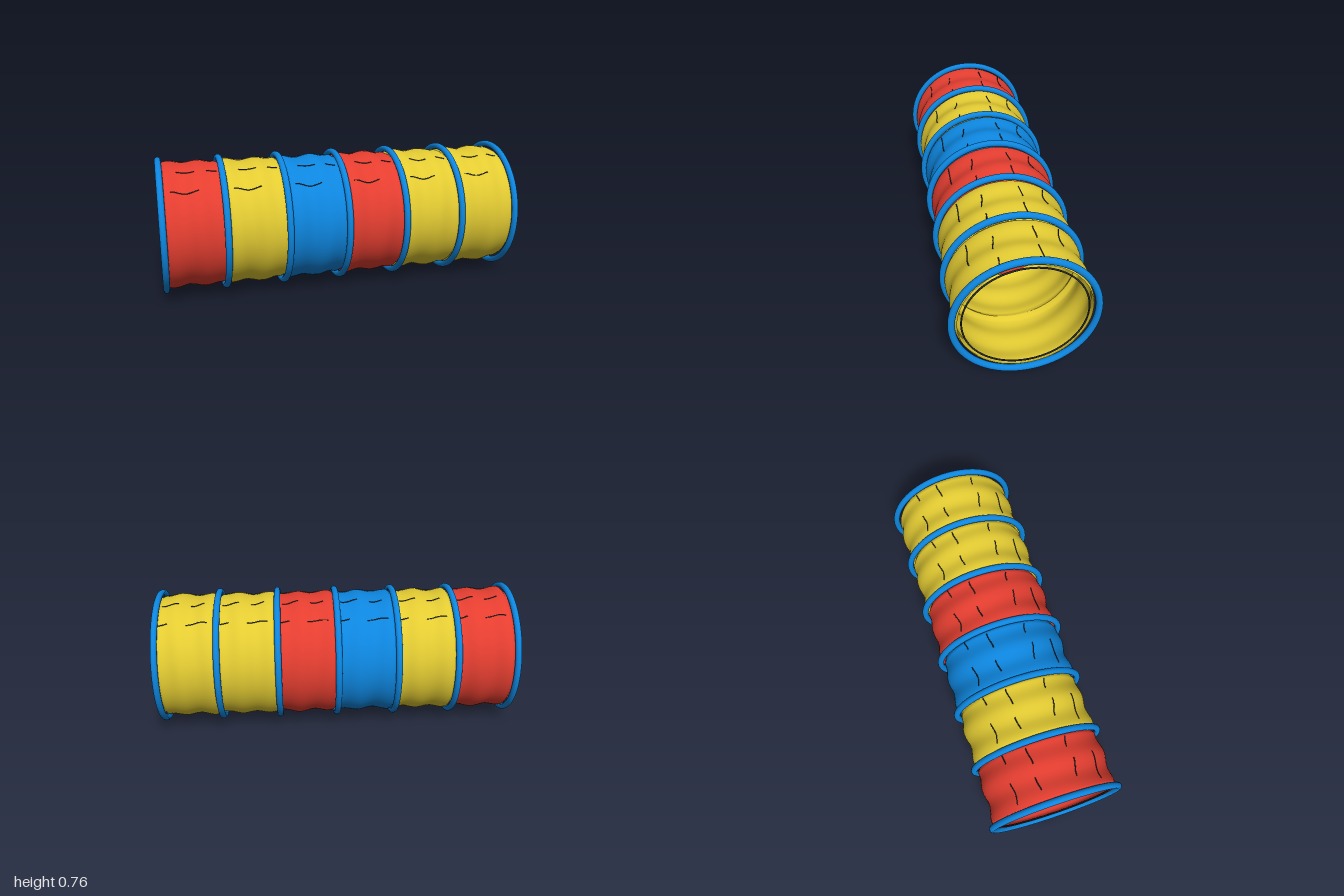
import * as THREE from 'three';
import { mergeVertices } from 'three/addons/utils/BufferGeometryUtils.js';

const HOOP_R = 0.36, HOOP_TUBE = 0.018, SEG = 0.982 / 3, CENTRE_Y = HOOP_R + HOOP_TUBE;

// Fabric radius: gentle ripples along the tube, drawn in under each hoop.
// u is 0..1 along a section, a is the angle from the top towards +z.
function fabricRadius(u, a, i) {
  const edge = Math.min(u, 1 - u) * SEG;
  const t = Math.min(1, edge / 0.025);
  const ripple = 0.346 + 0.0065 * Math.sin(u * Math.PI * 4 + 0.5 * Math.sin(2 * a + i))
    + 0.002 * Math.sin(3 * a + u * 7 + i * 1.7);
  return THREE.MathUtils.lerp(0.332, ripple, t * t * (3 - 2 * t));
}

function fabricGeometry(i) {
  const g = new THREE.CylinderGeometry(1, 1, 1, 72, 52, true);
  g.rotateZ(-Math.PI / 2);
  const p = g.attributes.position;
  for (let k = 0; k < p.count; k++) {
    const u = p.getX(k) + 0.5, a = Math.atan2(p.getZ(k), p.getY(k));
    const r = fabricRadius(u, a, i);
    p.setXYZ(k, (u - 0.5) * SEG, Math.cos(a) * r, Math.sin(a) * r);
  }
  g.deleteAttribute('uv');
  g.deleteAttribute('normal');
  const merged = mergeVertices(g, 1e-5);
  merged.computeVertexNormals();
  return merged;
}

// Short wavy crease lying on the fabric
function creaseGeometry(i, angle, u0, u1) {
  const pts = [];
  for (let k = 0; k <= 10; k++) {
    const u = u0 + (u1 - u0) * k / 10;
    const a = angle + 0.02 * Math.sin(u * 13 + angle * 3);
    const r = fabricRadius(u, a, i) + 0.0005;
    pts.push(new THREE.Vector3((u - 0.5) * SEG, Math.cos(a) * r, Math.sin(a) * r));
  }
  return new THREE.TubeGeometry(new THREE.CatmullRomCurve3(pts), 20, 0.0028, 6);
}

export function createModel() {
  const model = new THREE.Group();
  model.name = 'playTunnel';
  const material = (name, color, side = THREE.FrontSide) => {
    const m = new THREE.MeshStandardMaterial({ color, side });
    m.name = name;
    return m;
  };
  const red = material('red fabric', 0xe53e30, THREE.DoubleSide);
  const yellow = material('yellow fabric', 0xe3cb32, THREE.DoubleSide);
  const blue = material('blue', 0x0d86df, THREE.DoubleSide);
  const dark = material('dark wire', 0x262c2c);
  const add = (name, geometry, mat, x, parent = model) => {
    const mesh = new THREE.Mesh(geometry, mat);
    mesh.name = name;
    mesh.position.x = x;
    parent.add(mesh);
    return mesh;
  };

  const tunnel = new THREE.Group();
  tunnel.name = 'tunnel';
  tunnel.position.y = CENTRE_Y;
  model.add(tunnel);

  // Fabric sections with creases along the upper half
  const creases = [
    [0.8, 0.15, 0.6], [0.38, 0.27, 0.56], [0.38, 0.75, 0.92],
    [-0.23, 0.22, 0.44], [-0.23, 0.64, 0.92], [-0.64, 0.15, 0.5], [-0.64, 0.8, 0.95]
  ];
  [red, yellow, blue, red, yellow, yellow].forEach((mat, i) => {
    const x = (i - 2.5) * SEG;
    add('fabricSection' + (i + 1), fabricGeometry(i), mat, x, tunnel);
    creases.forEach(([a, u0, u1]) => add('crease', creaseGeometry(i, a, u0, u1), dark, x, tunnel));
  });

  // Hoops between the sections and at both ends
  const hoop = new THREE.TorusGeometry(HOOP_R, HOOP_TUBE, 16, 80).rotateY(Math.PI / 2);
  for (let i = -3; i <= 3; i++) add('hoop' + (i + 4), hoop, blue, i * SEG, tunnel);

  // Thin wire rings just inside the two openings
  const wire = new THREE.TorusGeometry(0.312, 0.0045, 8, 80).rotateY(Math.PI / 2);
  for (const s of [-1, 1]) add(s > 0 ? 'leftEndWire' : 'rightEndWire', wire, dark, s * 0.978, tunnel);

  return model;
}
